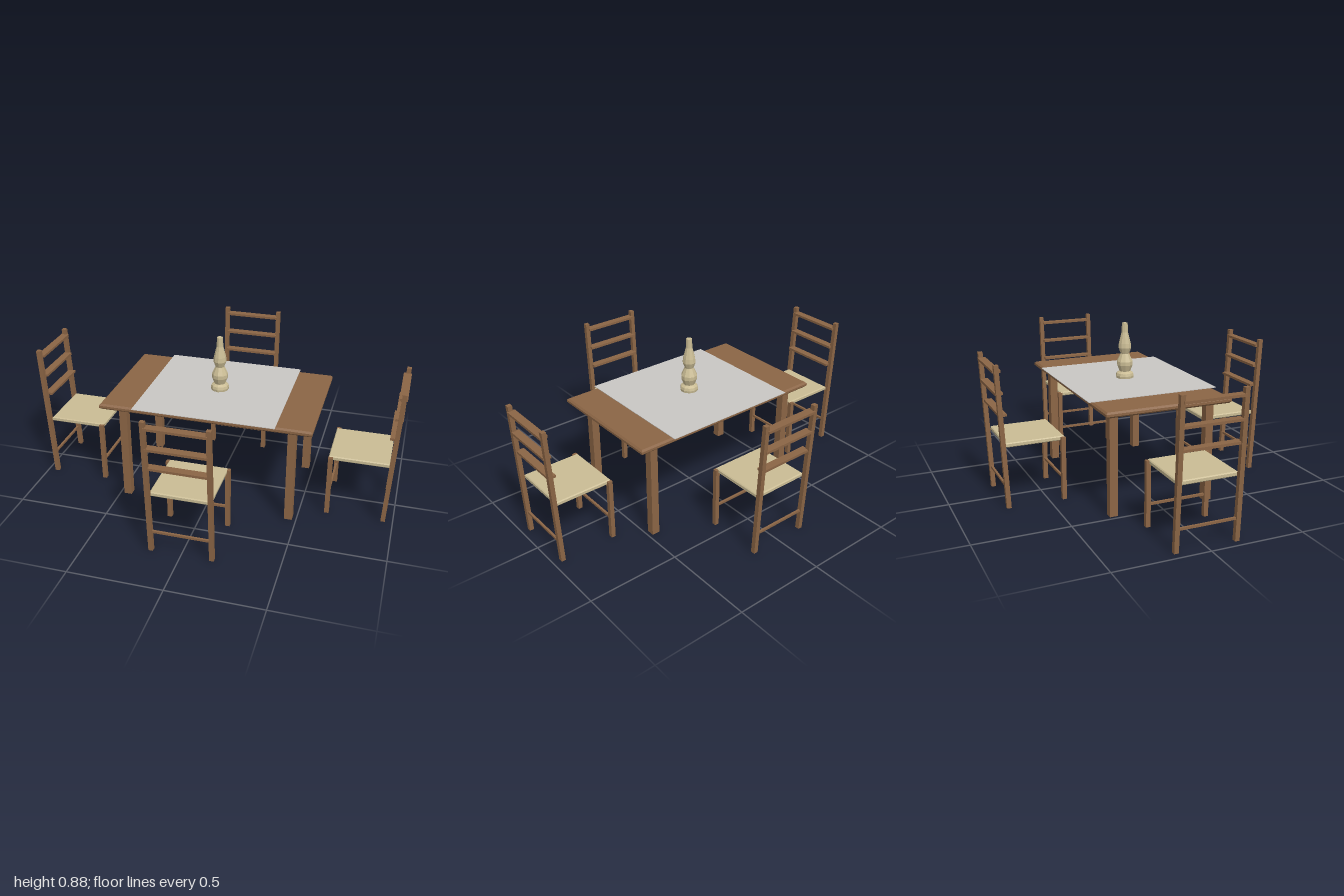
import * as THREE from 'three';

const wood = new THREE.MeshStandardMaterial({ color: 0x8b6545, flatShading: true });
wood.name = 'brown wood';
const straw = new THREE.MeshStandardMaterial({ color: 0xcabc94, flatShading: true });
straw.name = 'straw';
const linen = new THREE.MeshStandardMaterial({ color: 0xc8c6c3, flatShading: true });
linen.name = 'grey linen';

function add(parent, name, geometry, material, x = 0, y = 0, z = 0) {
  const mesh = new THREE.Mesh(geometry, material);
  mesh.name = name;
  mesh.position.set(x, y, z);
  parent.add(mesh);
  return mesh;
}

const box = (parent, name, material, w, h, d, x, y, z) =>
  add(parent, name, new THREE.BoxGeometry(w, h, d), material, x, y, z);

// Horizontal board with chamfered edges, centred on the origin
function slab(w, h, d, bevel) {
  const x = w / 2 - bevel, z = d / 2 - bevel;
  const shape = new THREE.Shape([
    new THREE.Vector2(-x, -z), new THREE.Vector2(x, -z),
    new THREE.Vector2(x, z), new THREE.Vector2(-x, z),
  ]);
  const geometry = new THREE.ExtrudeGeometry(shape, {
    depth: h - 2 * bevel, bevelEnabled: true, bevelThickness: bevel, bevelSize: bevel, bevelSegments: 1,
  });
  return geometry.translate(0, 0, -(h - 2 * bevel) / 2).rotateX(-Math.PI / 2);
}

// Chair with its front legs at z = 0 and its back towards +z
function createChair() {
  const chair = new THREE.Group();
  chair.name = 'chair';
  const postZ = (y) => 0.302 + 0.036 * (y / 0.76);

  for (const side of [-1, 1]) {
    box(chair, 'frontLeg', wood, 0.024, 0.345, 0.024, side * 0.16, 0.1725, 0);

    // Back post leans outwards as it rises
    const post = new THREE.BoxGeometry(0.024, 0.76, 0.024).translate(0, 0.38, 0);
    const p = post.attributes.position;
    for (let i = 0; i < p.count; i++) p.setZ(i, p.getZ(i) + postZ(p.getY(i)));
    post.computeVertexNormals();
    add(chair, 'backPost', post, wood, side * 0.16);
  }

  add(chair, 'seat', slab(0.314, 0.024, 0.315, 0.005), straw, 0, 0.337, 0.146);

  // Flat rungs across the back, the lowest set further forward
  for (const [y, z] of [[0.725, 0.333], [0.61, 0.325], [0.497, 0.311]]) {
    box(chair, 'backRung', wood, 0.31, 0.013, 0.042, 0, y, z);
  }

  box(chair, 'frontStretcher', wood, 0.3, 0.012, 0.012, 0, 0.118, 0);
  box(chair, 'backStretcher', wood, 0.3, 0.012, 0.012, 0, 0.118, postZ(0.118));
  return chair;
}

export function createModel() {
  const model = new THREE.Group();
  model.name = 'diningSet';

  // Table
  const table = new THREE.Group();
  table.name = 'table';
  model.add(table);
  add(table, 'tableTop', slab(1.135, 0.03, 0.68, 0.009), wood, 0, 0.564, 0);
  for (const x of [-0.457, 0.457]) {
    for (const z of [-0.266, 0.266]) {
      box(table, 'tableLeg', wood, 0.043, 0.55, 0.043, x, 0.275, z);
    }
  }
  box(table, 'tableCloth', linen, 0.76, 0.003, 0.714, 0, 0.582, 0);

  // Faceted vase
  const profile = [
    [0, 0.583], [0.048, 0.583], [0.05, 0.596], [0.046, 0.61], [0.03, 0.62], [0.044, 0.655], [0.044, 0.675],
    [0.024, 0.718], [0.036, 0.75], [0.033, 0.775], [0.018, 0.835], [0.016, 0.885], [0, 0.885],
  ].map(([r, y]) => new THREE.Vector2(r, y));
  add(model, 'vase', new THREE.LatheGeometry(profile, 10), straw);

  // Four chairs facing the table
  for (let i = 0; i < 4; i++) {
    const angle = (i * Math.PI) / 2;
    const distance = i % 2 ? 0.646 : 0.42;
    const chair = createChair();
    chair.rotation.y = angle;
    chair.position.set(Math.sin(angle) * distance, 0, Math.cos(angle) * distance);
    model.add(chair);
  }
  return model;
}
